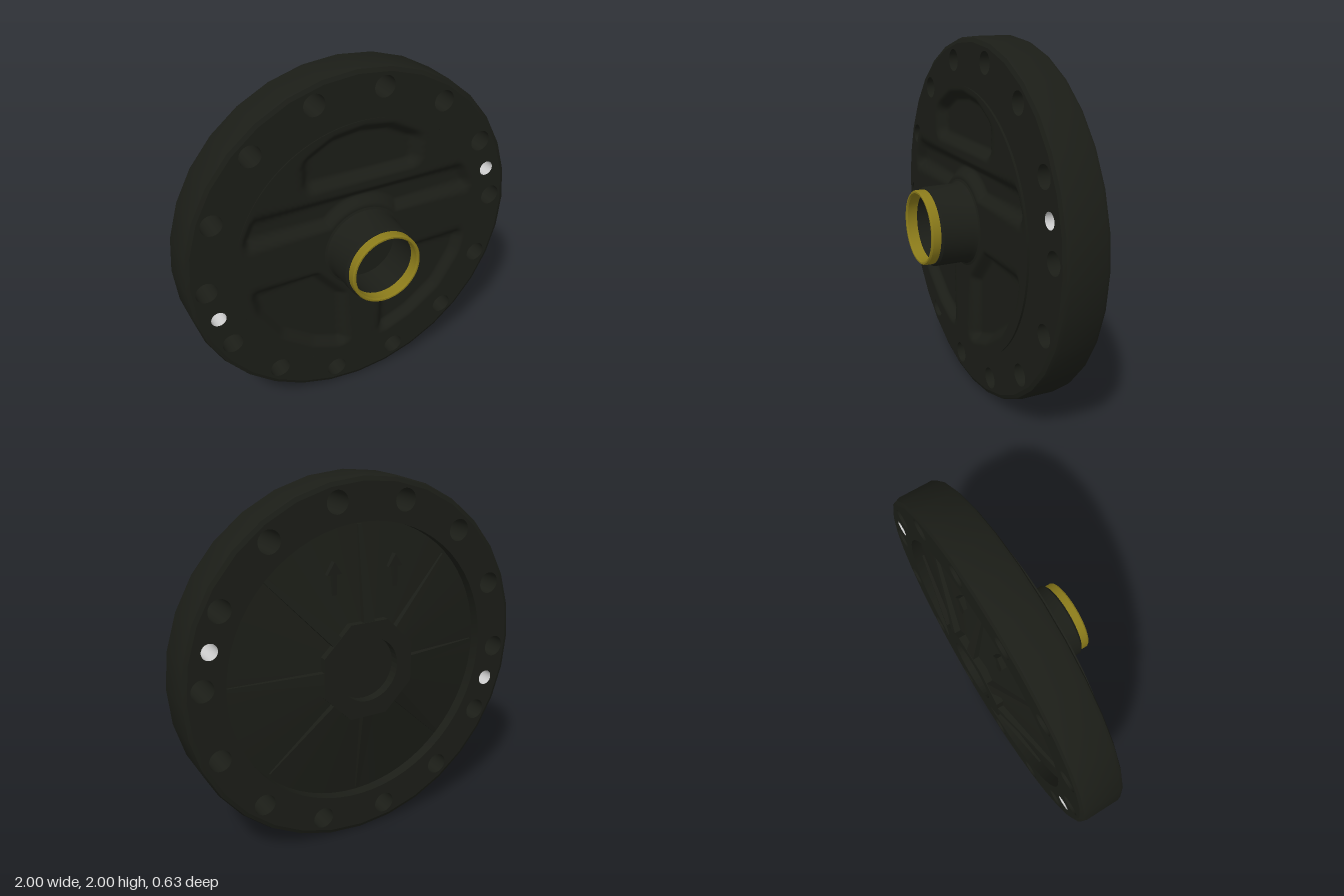
import * as THREE from 'three';
import { toCreasedNormals } from 'three/addons/utils/BufferGeometryUtils.js';

const dark = new THREE.MeshStandardMaterial({ color: 0x1b1d17 });
const darkInside = new THREE.MeshStandardMaterial({ color: 0x1b1d17, side: THREE.BackSide });
const darkDouble = new THREE.MeshStandardMaterial({ color: 0x1b1d17, side: THREE.DoubleSide });
const gold = new THREE.MeshStandardMaterial({ color: 0x8a7a1a });
const greyInside = new THREE.MeshStandardMaterial({ color: 0xcccccc, side: THREE.BackSide });

const V = (x, y) => new THREE.Vector2(x, y);
const rad = THREE.MathUtils.degToRad;

// Lathe about the z axis; profile points are [radius, z]
function turned(profile, segments) {
  const g = new THREE.LatheGeometry(profile.map(p => V(...p)), segments).rotateX(Math.PI / 2);
  return toCreasedNormals(g, 0.6);
}

function polygon(radius, sides, turn = 0) {
  return Array.from({ length: sides }, (_, i) => {
    const a = turn + (i / sides) * Math.PI * 2;
    return V(radius * Math.cos(a), radius * Math.sin(a));
  });
}

// Signed distance to a polygon, negative inside
function polygonDistance(x, y, pts) {
  let best = Infinity, inside = false;
  pts.forEach(([ax, ay], i) => {
    const [bx, by] = pts[(i + 1) % pts.length];
    const ex = bx - ax, ey = by - ay;
    const t = THREE.MathUtils.clamp(((x - ax) * ex + (y - ay) * ey) / (ex * ex + ey * ey), 0, 1);
    best = Math.min(best, Math.hypot(x - ax - ex * t, y - ay - ey * t));
    if ((ay > y) !== (by > y) && x < ax + (ex * (y - ay)) / ey) inside = !inside;
  });
  return inside ? -best : best;
}

// Pressed pockets of the front plate: core outline plus corner radius
const pockets = [
  { r: 0.08, pts: [[-0.28, 0.48], [0.28, 0.48], [0.28, 0.56], [0.15, 0.63], [0, 0.65], [-0.15, 0.63], [-0.28, 0.56]] },
  { r: 0.06, pts: [[-0.6, 0.3], [0.6, 0.3], [0.64, 0.22], [-0.64, 0.22]] },
  { r: 0.06, pts: [[0.15, -0.61], [0.16, -0.3], [0.3, -0.14], [0.62, -0.14], [0.6, -0.23], [0.48, -0.42], [0.3, -0.55]] },
];

function pressedPlate() {
  const g = new THREE.RingGeometry(0.15, 0.75, 160, 64);
  const p = g.attributes.position;
  for (let i = 0; i < p.count; i++) {
    const x = p.getX(i), y = p.getY(i);
    let d = Infinity;
    pockets.forEach(({ r, pts }, k) => {
      const px = k === 2 ? Math.abs(x) : x; // lower pocket is mirrored
      d = Math.min(d, polygonDistance(px, y, pts) - r);
    });
    d = Math.max(d, 0.25 - Math.hypot(x, y));
    p.setZ(i, 0.06 - 0.05 * THREE.MathUtils.smoothstep(-d, 0, 0.06));
  }
  g.computeVertexNormals();
  return g;
}

// Back rib along +x, tapering in width and height towards the rim
function ribGeometry() {
  const g = new THREE.BoxGeometry(1, 1, 1);
  const p = g.attributes.position;
  for (let i = 0; i < p.count; i++) {
    const t = p.getX(i) + 0.5;
    const top = p.getZ(i) < 0;
    p.setXYZ(i,
      THREE.MathUtils.lerp(0.25, 0.75, t),
      p.getY(i) * THREE.MathUtils.lerp(0.065, 0.022, t),
      top ? THREE.MathUtils.lerp(-0.312, -0.205, t) : -0.18);
  }
  g.computeVertexNormals();
  return g;
}

export function createModel() {
  const root = new THREE.Group();
  const body = new THREE.Group();
  body.name = 'endCover';
  body.position.y = 1;
  root.add(body);
  const add = (name, geometry, material = dark) => {
    const m = new THREE.Mesh(geometry, material);
    m.name = name;
    body.add(m);
    return m;
  };

  // Bolt holes evenly round the rim, plus two small lined holes
  const holes = [];
  for (let i = 0; i < 14; i++) holes.push({ a: rad(3 + (i * 360) / 14), at: 0.89, r: 0.06 });
  for (const deg of [15.7, 195.7]) holes.push({ a: rad(deg), at: 0.875, r: 0.043, lined: true });
  for (const h of holes) { h.x = h.at * Math.cos(h.a); h.y = h.at * Math.sin(h.a); }

  const face = inner => {
    const s = new THREE.Shape(polygon(0.97, 32));
    for (const h of holes) {
      s.holes.push(new THREE.Path(polygon(h.r, 24).map(v => V(v.x + h.x, v.y + h.y))));
    }
    if (inner) s.holes.push(new THREE.Path(polygon(inner, 64)));
    return new THREE.ShapeGeometry(s);
  };
  add('frontFace', face());
  add('backFace', face(0.77).rotateY(Math.PI).scale(-1, 1, 1), darkDouble).position.z = -0.25;
  // Mirroring keeps the holes aligned from front to back

  add('outerRim', turned([[0.97, -0.25], [0.992, -0.24], [1, -0.22], [1, -0.03], [0.992, -0.01], [0.97, 0]], 32));
  for (const h of holes) {
    const tube = new THREE.CylinderGeometry(h.r, h.r, 0.25, 24, 1, true).rotateX(Math.PI / 2);
    add(h.lined ? 'pinHole' : 'boltHole', tube, h.lined ? greyInside : darkInside).position.set(h.x, h.y, -0.125);
  }

  // Conical recess on the back
  add('backRecess', turned([[0, -0.26], [0.2, -0.26], [0.21, -0.285], [0.77, -0.19], [0.77, -0.25]], 64));

  // Octagonal boss with a round pocket
  const boss = new THREE.Shape(polygon(0.285, 8, Math.PI / 8));
  boss.holes.push(new THREE.Path(polygon(0.175, 40)));
  add('backBoss', new THREE.ExtrudeGeometry(boss, { depth: 0.11, bevelEnabled: false })).position.z = -0.312;

  // Eight radial ribs
  const rib = ribGeometry();
  for (let i = 0; i < 8; i++) add('backRib', rib).rotation.z = (i * Math.PI) / 4;

  // Two raised arrows pointing up
  const arrow = new THREE.Shape([[-0.013, -0.085], [0.013, -0.085], [0.013, 0.02], [0.042, 0.02],
    [0, 0.085], [-0.042, 0.02], [-0.013, 0.02]].map(p => V(...p)));
  const arrowGeometry = new THREE.ExtrudeGeometry(arrow, { depth: 0.05, bevelEnabled: false });
  for (const x of [-0.19, 0.17]) add('backArrow', arrowGeometry).position.set(x, 0.5, -0.25);

  // Front plate with pressed pockets and a thin edge
  add('frontPlate', pressedPlate(), darkDouble);
  add('plateEdge', turned([[0.72, 0.035], [0.745, 0.045], [0.75, 0.06]], 96), darkDouble);

  // Hub and its sleeve
  add('hub', turned([[0.245, 0.058], [0.228, 0.065], [0.218, 0.085], [0.217, 0.255], [0.207, 0.267],
    [0.185, 0.267], [0.185, 0.065], [0, 0.065]], 48));
  add('sleeve', turned([[0.204, 0.26], [0.204, 0.31], [0.198, 0.318], [0.189, 0.318],
    [0.183, 0.31], [0.183, 0.255]], 48), gold);

  return root;
}
